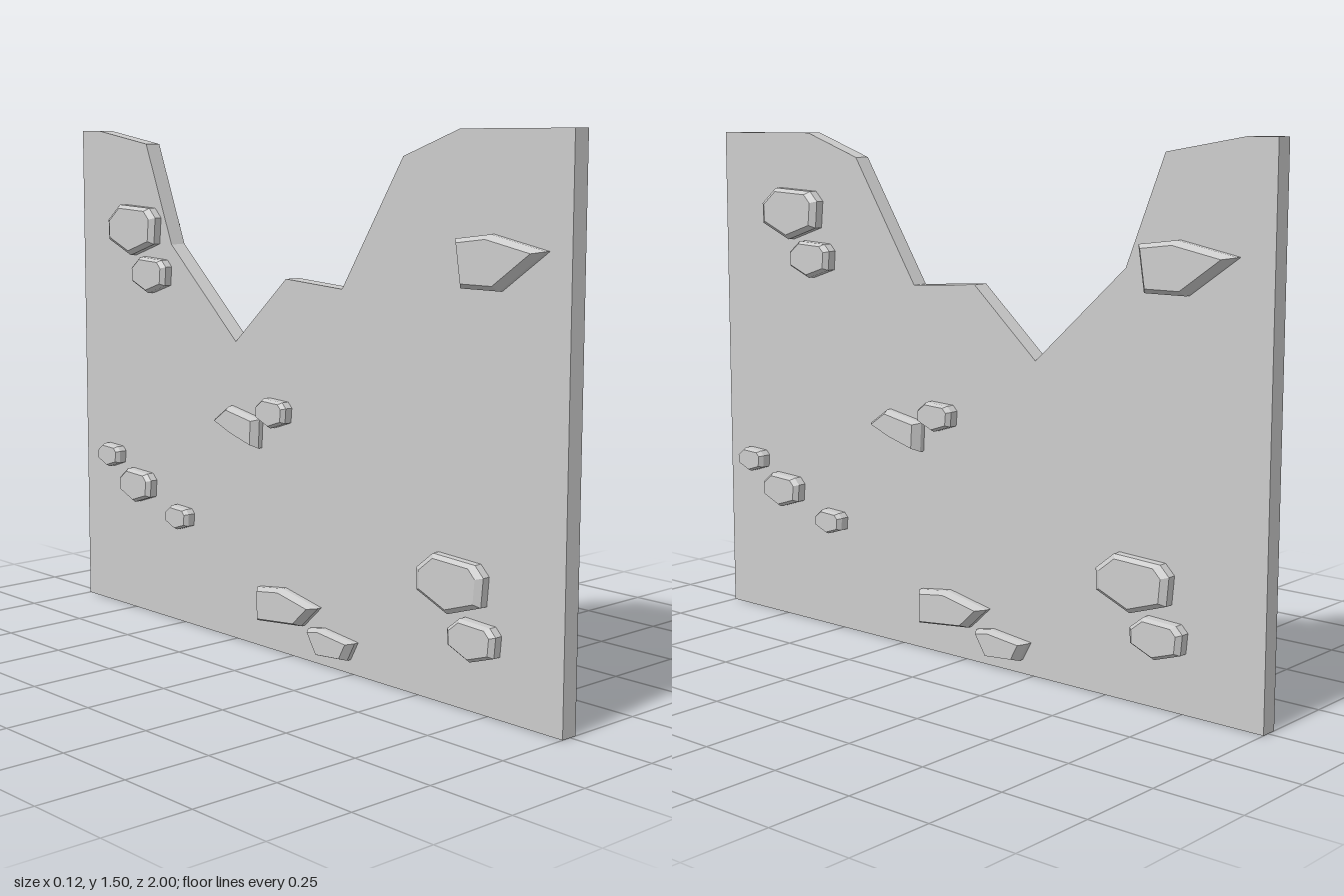
import * as THREE from 'three';
import { ConvexGeometry } from 'three/addons/geometries/ConvexGeometry.js';

const material = new THREE.MeshStandardMaterial({ color: 0xcccccc, flatShading: true });
const WALL_MIN = -0.029, WALL_MAX = 0.021;

// Wall silhouette, u runs along the wall, v is height
const WALL = [[-1, 0], [1, 0], [1, 1.5], [0.91, 1.5], [0.67, 1.46], [0.55, 1.16], [0.25, 0.89],
  [0.03, 1.085], [-0.2, 1.07], [-0.43, 1.43], [-0.63, 1.5], [-1, 1.5]];

// Rounded stone outline with a width of 1
const ROUND = [[-0.49, 0.11], [-0.24, 0.31], [0.38, 0.28], [0.5, 0.16], [0.47, -0.17], [-0.02, -0.33], [-0.48, -0.14]];

// Rounded stones: u, v, width
const UPPER_STONES = [[-0.69, 1.26, 0.24], [-0.605, 1.125, 0.17]];
const STONES = [[0.6, 0.33, 0.24], [0.68, 0.195, 0.17], [-0.745, 0.4, 0.16],
  [-0.88, 0.48, 0.112], [-0.535, 0.33, 0.112], [-0.1, 0.7, 0.13]];

// Angular stones, each an outline in u, v
const SHARDS = [
  [[0.6, 1.225], [0.72, 1.24], [0.9, 1.205], [0.75, 1.1], [0.62, 1.1]],
  [[-0.17, 0.18], [-0.06, 0.195], [0.09, 0.165], [0.02, 0.1], [-0.17, 0.08]],
  [[0.05, 0.1], [0.105, 0.11], [0.24, 0.095], [0.21, 0.04], [0.095, 0.03]],
  [[-0.36, 0.655], [-0.295, 0.7], [-0.16, 0.675], [-0.165, 0.59], [-0.27, 0.62]],
];

// Raised stone: outline loops stacked outward as [height, scale]
function stone(name, outline, loops) {
  const n = outline.length;
  const cu = outline.reduce((s, p) => s + p[0], 0) / n;
  const cv = outline.reduce((s, p) => s + p[1], 0) / n;
  const points = loops.flatMap(([h, s]) =>
    outline.map(([u, v]) => new THREE.Vector3(cu + (u - cu) * s, cv + (v - cv) * s, h)));
  const mesh = new THREE.Mesh(new ConvexGeometry(points), material);
  mesh.name = name;
  return mesh;
}

// All stones of one wall face, sticking out along local +z
function stoneFace(name, depth, upperShift) {
  const group = new THREE.Group();
  group.name = name;
  const addRound = ([u, v, w], label) => group.add(stone(label,
    ROUND.map(([a, b]) => [u + a * w, v + b * w]),
    [[-0.01, 1], [depth * 0.65, 1], [depth, 0.84]]));
  UPPER_STONES.forEach(([u, v, w]) => addRound([u + upperShift, v + upperShift, w], 'upperStone'));
  STONES.forEach((s) => addRound(s, 'roundStone'));
  SHARDS.forEach((s) => group.add(stone('angularStone', s, [[-0.01, 1], [depth * 0.4, 1], [depth, 0.82]])));
  return group;
}

export function createModel() {
  const model = new THREE.Group();
  model.name = 'brokenWall';

  // Broken wall slab
  const shape = new THREE.Shape(WALL.map(([u, v]) => new THREE.Vector2(u, v)));
  const slab = new THREE.ExtrudeGeometry(shape, { depth: WALL_MAX - WALL_MIN, bevelEnabled: false });
  slab.rotateY(Math.PI / 2).translate(WALL_MIN, 0, 0);
  const wall = new THREE.Mesh(slab, material);
  wall.name = 'wall';
  model.add(wall);

  // Stones on both faces, the second set turned around
  const left = stoneFace('leftStones', 0.039, 0);
  left.rotation.y = Math.PI / 2;
  left.position.x = WALL_MAX;
  const right = stoneFace('rightStones', 0.035, -0.06);
  right.rotation.y = -Math.PI / 2;
  right.position.set(WALL_MIN, 0, 0.03);
  model.add(left, right);
  return model;
}
